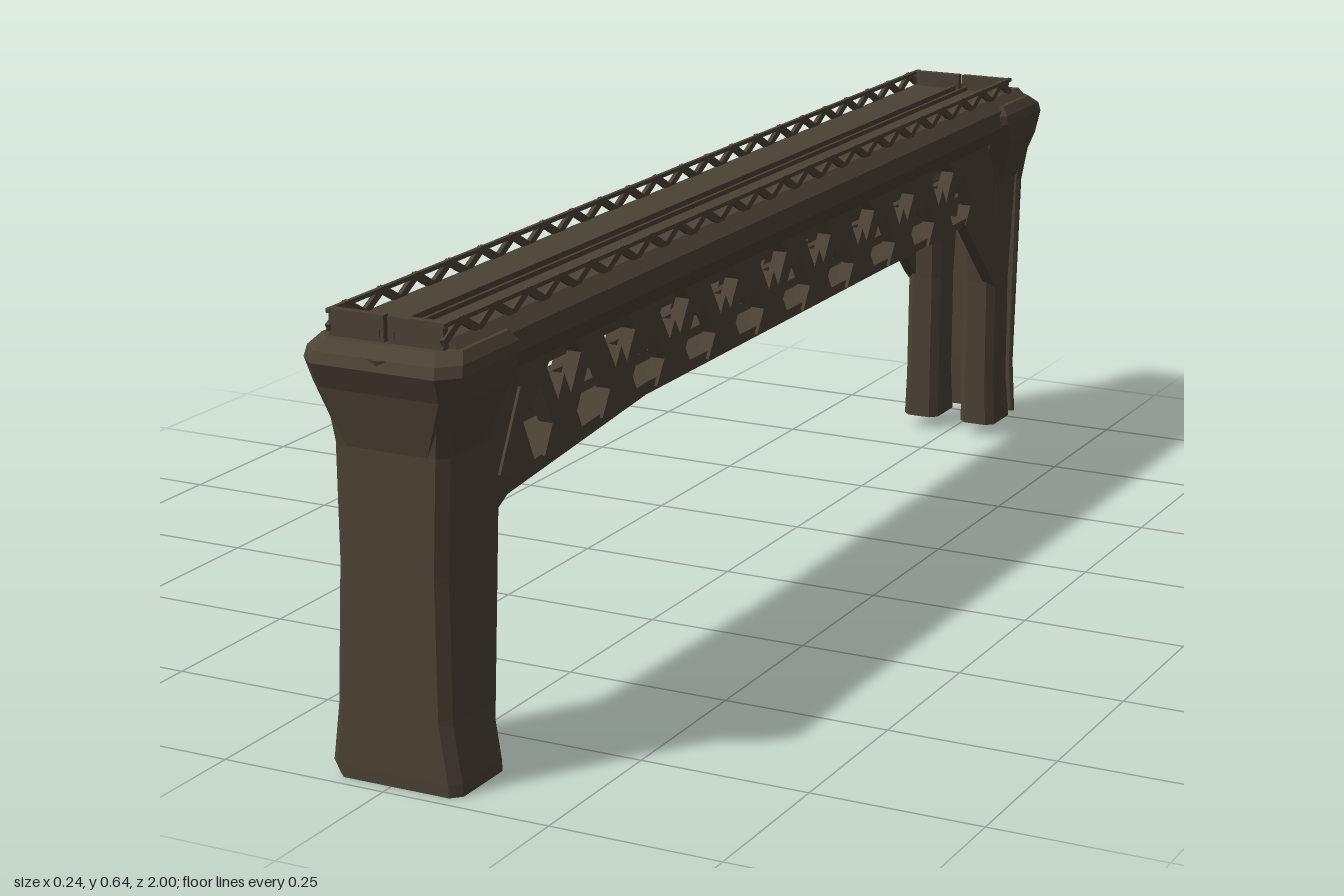
import * as THREE from 'three';

export function createModel() {
  const model = new THREE.Group();
  const steel = new THREE.MeshStandardMaterial({ color: 0x4c4235, flatShading: true, side: THREE.DoubleSide });
  steel.name = 'weathered brown';

  const add = (name, geometry) => {
    const mesh = new THREE.Mesh(geometry, steel);
    mesh.name = name;
    model.add(mesh);
    return mesh;
  };

  // Side outline of [z, y] points, extruded across the model from x0 to x1
  const slab = (name, points, x0, x1) => {
    const shape = new THREE.Shape(points.map(([z, y]) => new THREE.Vector2(z, y)));
    const g = new THREE.ExtrudeGeometry(shape, { depth: x1 - x0, bevelEnabled: false });
    g.rotateY(-Math.PI / 2);
    g.translate(x1, 0, 0);
    return add(name, g);
  };

  // Stack of rings [y, x0, x1, z0, z1] from bottom to top, corners cut by c
  const loft = (name, rings, c) => {
    const pos = [], idx = [], n = 8;
    for (const [y, a, b, p, q] of rings) {
      pos.push(a, y, q - c, a + c, y, q, b - c, y, q, b, y, q - c, b, y, p + c, b - c, y, p, a + c, y, p, a, y, p + c);
    }
    for (let r = 0; r < rings.length - 1; r++) {
      for (let i = 0; i < n; i++) {
        const a = r * n + i, b = r * n + (i + 1) % n;
        idx.push(a, b, b + n, a, b + n, a + n);
      }
    }
    const t = (rings.length - 1) * n;
    for (let i = 1; i < n - 1; i++) idx.push(0, i + 1, i, t, t + i, t + i + 1);
    const g = new THREE.BufferGeometry();
    g.setAttribute('position', new THREE.Float32BufferAttribute(pos, 3));
    g.setIndex(idx);
    g.computeVertexNormals();
    return add(name, g);
  };

  // Straight bar in a vertical plane at x, from [z, y] to [z, y]
  const bar = (name, x, [za, ya], [zb, yb], height, width) => {
    const g = new THREE.BoxGeometry(width, height, Math.hypot(zb - za, yb - ya));
    g.rotateX(-Math.atan2(yb - ya, zb - za));
    g.translate(x, (ya + yb) / 2, (za + zb) / 2);
    return add(name, g);
  };

  // Deck with sloping fascias and a shallow centre channel
  const half = [[0.005, 0.6], [0.01, 0.614], [0.086, 0.616], [0.106, 0.598], [0.11, 0.57], [0.09, 0.54], [0.08, 0.555]];
  const outline = [...half, ...half.map(([x, y]) => [-x, y]).reverse()];
  const deck = new THREE.ExtrudeGeometry(
    new THREE.Shape(outline.map(([x, y]) => new THREE.Vector2(x, y))), { depth: 1.9, bevelEnabled: false });
  deck.translate(0, 0, -0.95);
  add('deck', deck);

  // Bottom chord, dropping towards the front leg
  slab('bottomChord', [[0.83, 0.368], [0.42, 0.408], [-0.74, 0.414], [-0.74, 0.426], [0.42, 0.426], [0.83, 0.39]], -0.083, 0.083);

  const chordY = z => (z > 0.42 ? 0.425 - (z - 0.42) * 0.07 : 0.425);
  const bays = 10, z0 = -0.78, z1 = 0.82, bay = (z1 - z0) / bays;
  for (const s of [-1, 1]) {
    const x = s * 0.077;
    // Zigzag truss with triangular gussets
    for (let i = 0; i < bays; i++) {
      const a = z0 + i * bay, m = a + bay / 2, b = a + bay, tip = i % 2 ? 0.47 : 0.49;
      bar('trussDiagonal', x, [a, chordY(a)], [m, 0.55], 0.028, 0.022);
      bar('trussDiagonal', x, [m, 0.55], [b, chordY(b)], 0.028, 0.022);
      slab('upperGusset', [[m - 0.065, 0.555], [m + 0.01, tip], [m + 0.065, 0.555]], x - 0.011, x + 0.011);
      if (i) slab('lowerGusset', [[a - 0.055, chordY(a) - 0.01], [a + 0.055, chordY(a) - 0.01], [a, 0.5]], x - 0.011, x + 0.011);
    }
    // Long rails inside the truss
    for (const y of [0.455, 0.492, 0.525]) bar('trussRail', s * 0.06, [-0.8, y], [0.83, y], 0.014, 0.012);

    // Brackets joining the truss to the legs
    slab('frontBracket', [[0.87, 0.34], [0.81, 0.37], [0.73, 0.385], [0.77, 0.47], [0.7, 0.55], [0.87, 0.56]], s * 0.074 - 0.01, s * 0.074 + 0.01);
    slab('backBracket', [[-0.88, 0.27], [-0.855, 0.29], [-0.73, 0.415], [-0.76, 0.46], [-0.69, 0.55], [-0.88, 0.56]], s * 0.074 - 0.01, s * 0.074 + 0.01);

    // Open lattice railing on the outer edge, low kerb along the channel
    const rx = s * 0.086;
    bar('railingTop', rx, [-0.91, 0.637], [0.965, 0.637], 0.006, 0.006);
    const posts = 44, step = 1.875 / posts;
    for (let i = 0; i < posts; i++) {
      const z = -0.91 + i * step, up = i % 2;
      bar('railingLattice', rx, [z, up ? 0.637 : 0.614], [z + step, up ? 0.614 : 0.637], 0.011, 0.006);
    }
    bar('channelKerb', s * 0.011, [-0.91, 0.616], [0.965, 0.616], 0.01, 0.005);

    // Railings across the two ends
    for (const z of [-0.9, 0.957]) {
      const panel = new THREE.BoxGeometry(0.083, 0.045, 0.012);
      panel.translate(s * 0.0445, 0.6175, z);
      add('endRailing', panel);
    }

    // Twin columns of the back leg, with a gap between them
    const x0 = rings => rings.map(([y, a, b, p, q]) => (s > 0 ? [y, a, b, p, q] : [y, -b, -a, p, q]));
    loft('backLegColumn', x0([
      [0.025, 0.022, 0.086, -0.95, -0.86], [0.1, 0.022, 0.083, -0.94, -0.86], [0.28, 0.022, 0.082, -0.942, -0.862],
      [0.46, 0.018, 0.086, -0.955, -0.85], [0.56, 0.01, 0.1, -0.97, -0.82]]), 0.012);

    // Raised flanges along the inner face of the front leg
    bar('frontLegFlange', s * 0.06, [0.848, 0.02], [0.826, 0.38], 0.02, 0.03);
  }

  // Outer plate of the back leg
  loft('backLegPlate', [
    [0.03, -0.09, 0.09, -0.96, -0.95], [0.12, -0.084, 0.084, -0.962, -0.95],
    [0.45, -0.086, 0.086, -0.978, -0.96], [0.57, -0.105, 0.105, -0.99, -0.96]], 0.004);

  // Front leg, flaring slightly at the foot
  loft('frontLeg', [
    [0.003, -0.088, 0.103, 0.852, 0.98], [0.02, -0.097, 0.102, 0.852, 0.98], [0.1, -0.088, 0.088, 0.85, 0.978],
    [0.3, -0.083, 0.083, 0.838, 0.972], [0.46, -0.087, 0.087, 0.835, 0.968], [0.56, -0.1, 0.1, 0.82, 0.98]], 0.014);

  // Faceted heads above both legs
  const head = [[0.46, 0.087, 0.85, 0.968], [0.54, 0.116, 0.82, 0.985], [0.575, 0.119, 0.8, 1], [0.59, 0.117, 0.8, 0.994], [0.604, 0.106, 0.81, 0.975]];
  loft('frontHead', head.map(([y, w, a, b]) => [y, -w, w, a, b]), 0.026);
  loft('backHead', head.map(([y, w, a, b]) => [y, -w, w, -b, -a]), 0.026);

  // Wedge-shaped brow on each head
  for (const s of [-1, 1]) {
    const brow = new THREE.ConeGeometry(0.05, 0.065, 4);
    brow.scale(1.2, 1, 0.36).rotateX(Math.PI).translate(0.005, 0.557, s * 0.981);
    add('headBrow', brow);
  }
  return model;
}
